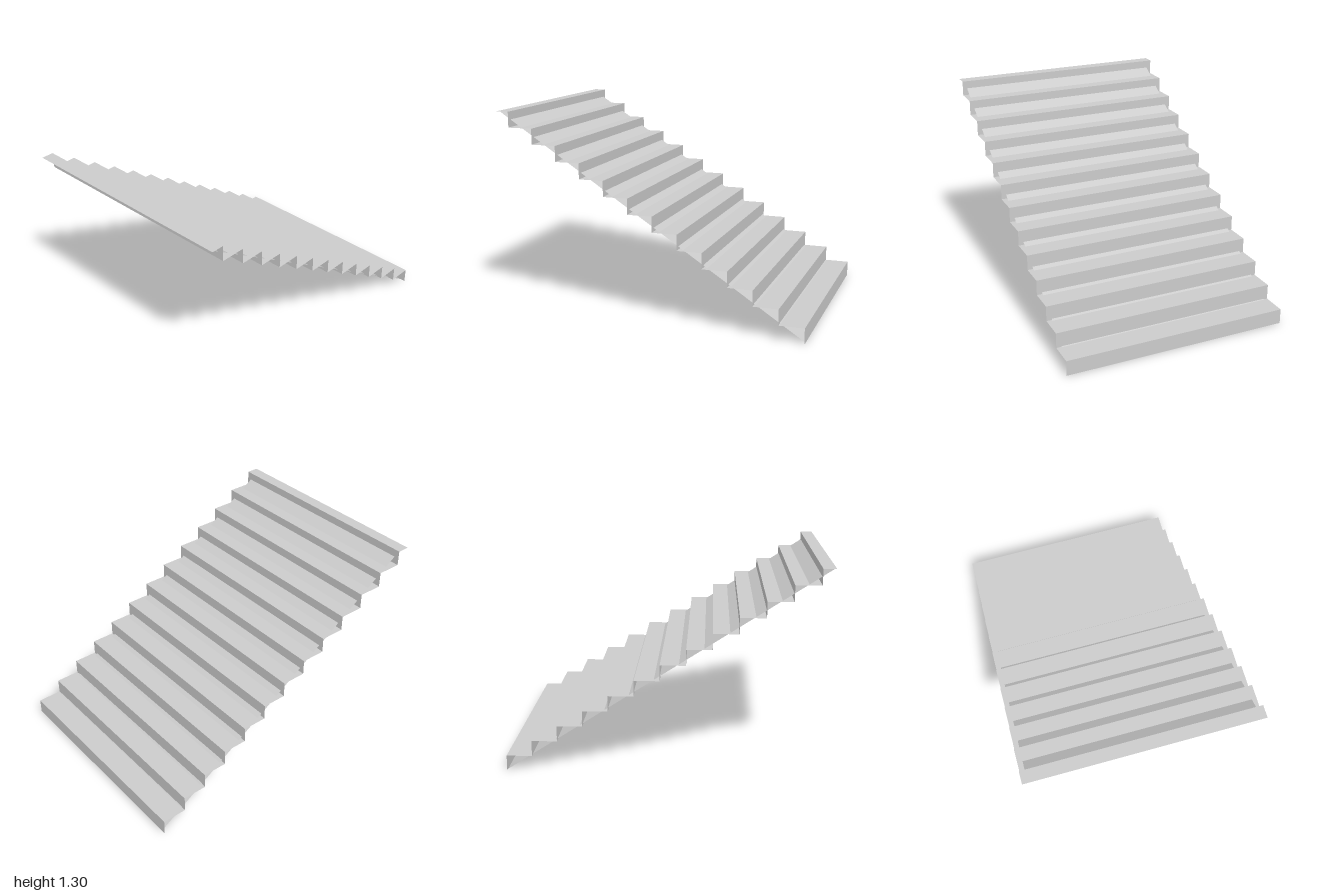
import * as THREE from 'three';

const STEPS = 13, RISE = 0.1, RUN = 0.16, HALF_WIDTH = 0.744;

const material = new THREE.MeshStandardMaterial({
  color: 0xcccccc, flatShading: true, side: THREE.DoubleSide,
});

// Flat sheet through four corners, listed counter-clockwise seen from its front
function sheet(name, a, b, c, d) {
  const geometry = new THREE.BufferGeometry();
  geometry.setAttribute('position', new THREE.Float32BufferAttribute([...a, ...b, ...c, ...d], 3));
  geometry.setIndex([0, 1, 2, 0, 2, 3]);
  geometry.computeVertexNormals();
  const mesh = new THREE.Mesh(geometry, material);
  mesh.name = name;
  return mesh;
}

export function createModel() {
  const model = new THREE.Group();
  model.name = 'staircase';
  const w = HALF_WIDTH;

  // Steps climb from the back (-z) to the front (+z); the last tread is half deep
  for (let i = 0; i < STEPS; i++) {
    const y0 = i * RISE, y1 = y0 + RISE;
    const z0 = -1 + i * RUN, z1 = Math.min(z0 + RUN, 1);
    const step = new THREE.Group();
    step.name = `step${i + 1}`;
    step.add(
      sheet('riser', [w, y0, z0], [-w, y0, z0], [-w, y1, z0], [w, y1, z0]),
      sheet('tread', [-w, y1, z0], [-w, y1, z1], [w, y1, z1], [w, y1, z0]),
    );
    model.add(step);
  }

  // Narrower sloping panel running straight from the foot to the top edge
  model.add(sheet('slopingPanel',
    [-0.716, 0, -1], [-0.711, 1.3, 1], [0.714, 1.3, 1], [0.709, 0, -1]));

  return model;
}
